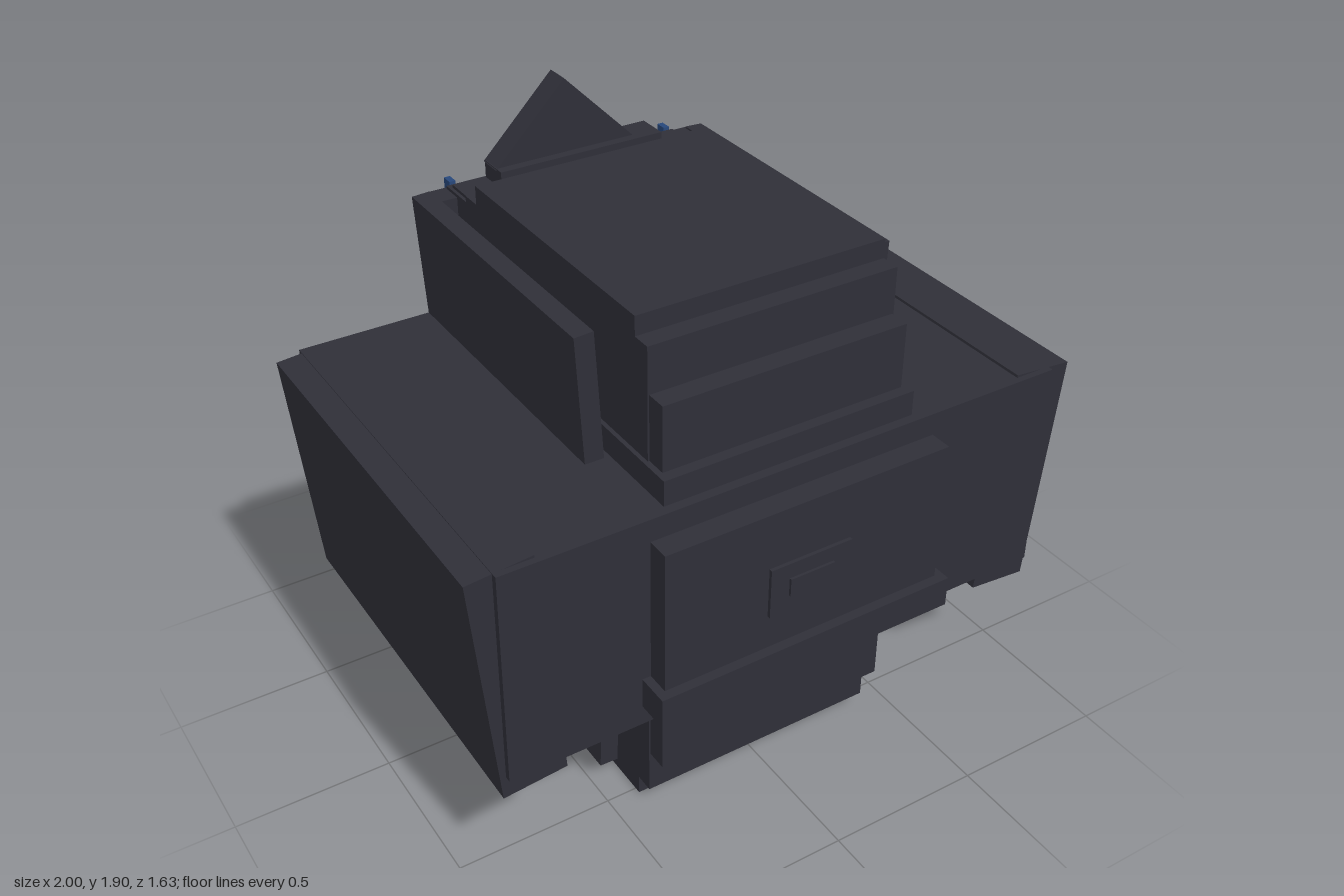
import * as THREE from 'three';

const mat = (name, color, extra = {}) => {
  const m = new THREE.MeshStandardMaterial({ color, ...extra });
  m.name = name;
  return m;
};

export function createModel() {
  const model = new THREE.Group();
  model.name = 'blockTorso';
  const armour = mat('dark armour', 0x2f2f38);
  const blue = mat('deep blue', 0x27477a);
  const black = mat('near black', 0x1f1f24);

  // Box given by its limits on each axis, optionally turned about z
  const box = (name, [x0, x1], [y0, y1], [z0, z1], material = armour, turn = 0) => {
    const mesh = new THREE.Mesh(new THREE.BoxGeometry(x1 - x0, y1 - y0, z1 - z0), material);
    mesh.position.set((x0 + x1) / 2, (y0 + y1) / 2, (z0 + z1) / 2);
    mesh.rotation.z = turn;
    mesh.name = name;
    model.add(mesh);
    return mesh;
  };
  // Box centred on x = 0
  const mid = (name, halfWidth, y, z, material) => box(name, [-halfWidth, halfWidth], y, z, material);
  // The same box on both sides
  const pair = (name, x, y, z, material, turn = 0) => {
    box(name + 'Left', x, y, z, material, turn);
    box(name + 'Right', [-x[1], -x[0]], y, z, material, -turn);
  };

  // Stepped central column
  mid('columnCore', 0.4, [0, 1.68], [-0.37, 0.52]);
  mid('columnStepOne', 0.4, [0.065, 1.62], [-0.44, 0.58]);
  mid('columnStepTwo', 0.395, [0.21, 1.475], [-0.4, 0.645]);
  mid('columnStepThree', 0.413, [0.41, 1.27], [-0.4, 0.68]);
  mid('upperBackBody', 0.4, [1.1, 1.6], [-0.57, -0.3]);
  mid('lowerBackBody', 0.4, [0.025, 0.6], [-0.55, -0.3]);
  mid('topBackRidge', 0.28, [1.55, 1.665], [-0.545, -0.44]);
  mid('topBackStep', 0.39, [1.5, 1.61], [-0.55, -0.44]);

  // Wide middle body with leaning side slabs
  mid('middleBody', 0.92, [0.49, 1.19], [-0.572, 0.71]);
  pair('sideSlab', [0.766, 0.966], [0.423, 1.191], [-0.553, 0.69], armour, -0.09);
  pair('upperSlab', [0.442, 0.502], [1.15, 1.594], [-0.572, 0.405], armour, -0.055);
  pair('lowerSlab', [0.398, 0.458], [0.05, 0.53], [-0.572, 0.405], armour, 0.045);
  pair('lowerCornerBlock', [0.3, 0.44], [0.015, 0.34], [-0.545, -0.44]);

  // Front plate, belt and buckle
  mid('frontPlate', 0.473, [0.6, 1.118], [0.7, 0.782]);
  mid('frontBelt', 0.5, [0.555, 0.655], [0.7, 0.813]);
  mid('buckle', 0.137, [0.77, 0.935], [0.78, 0.793]);
  mid('buckleCentre', 0.075, [0.825, 0.885], [0.79, 0.801]);

  // Back plate, belt and projecting bar
  mid('backPlate', 0.473, [0.6, 1.118], [-0.635, -0.56]);
  mid('backBelt', 0.5, [0.555, 0.655], [-0.695, -0.56]);
  mid('backBar', 0.365, [0.905, 1.07], [-0.813, -0.62]);

  // Upper back panel with its lower strip
  pair('upperBackEdge', [0.39, 0.48], [1.15, 1.59], [-0.58, -0.5]);
  mid('upperBackPanel', 0.36, [1.12, 1.4], [-0.605, -0.56]);
  const strip = new THREE.Shape();
  strip.moveTo(-0.36, 1.41);
  strip.quadraticCurveTo(0, 1.35, 0.36, 1.41);
  strip.lineTo(0.36, 1.37);
  strip.quadraticCurveTo(0, 1.31, -0.36, 1.37);
  const stripMesh = new THREE.Mesh(
    new THREE.ExtrudeGeometry(strip, { depth: 0.03, bevelEnabled: false, curveSegments: 5 }), armour);
  stripMesh.position.z = -0.63;
  stripMesh.name = 'curvedBackStrip';
  model.add(stripMesh);

  // Turned square crests
  const crest = (name, x, y, half, z, material) => {
    const s = half / Math.SQRT2;
    box(name, [x - s, x + s], [y - s, y + s], z, material, Math.PI / 4);
  };
  crest('tallCrest', -0.042, 1.66, 0.24, [-0.55, -0.47]);
  crest('rearCrest', 0, 1.53, 0.31, [-0.592, -0.55]);
  crest('crestGem', 0, 1.47, 0.09, [-0.612, -0.59], blue);
  for (const s of [-1, 1]) crest('backStud', s * 0.25, 1.32, 0.055, [-0.65, -0.6], armour);
  pair('studCap', [0.235, 0.265], [1.36, 1.43], [-0.645, -0.625], black);

  // Lower back panels
  pair('lowerBackPanel', [0.25, 0.42], [0.03, 0.56], [-0.572, -0.5]);
  const apron = new THREE.Shape([
    [-0.25, 0.1], [0.25, 0.1], [0.25, 0.34], [0.17, 0.34],
    [0.12, 0.3], [-0.12, 0.3], [-0.17, 0.34], [-0.25, 0.34],
  ].map(([x, y]) => new THREE.Vector2(x, y)));
  const apronMesh = new THREE.Mesh(
    new THREE.ExtrudeGeometry(apron, { depth: 0.04, bevelEnabled: false }), armour);
  apronMesh.position.z = -0.585;
  apronMesh.name = 'lowerBackApron';
  model.add(apronMesh);

  // Blue straps and tabs
  pair('lowerStrap', [0.39, 0.43], [0.1, 0.56], [-0.615, -0.595], blue, 0.04);
  pair('lowerStrapTop', [0.385, 0.425], [0.3, 0.56], [-0.62, -0.57], blue, 0.04);
  pair('upperStrap', [0.365, 0.395], [1.38, 1.52], [-0.622, -0.57], blue);
  pair('upperStrapTail', [0.37, 0.385], [1.12, 1.4], [-0.612, -0.57], blue);
  pair('upperStrapTip', [0.37, 0.39], [1.5, 1.61], [-0.608, -0.57], blue);
  pair('beltTab', [0.41, 0.445], [0.69, 0.765], [-0.644, -0.63], blue);

  return model;
}
